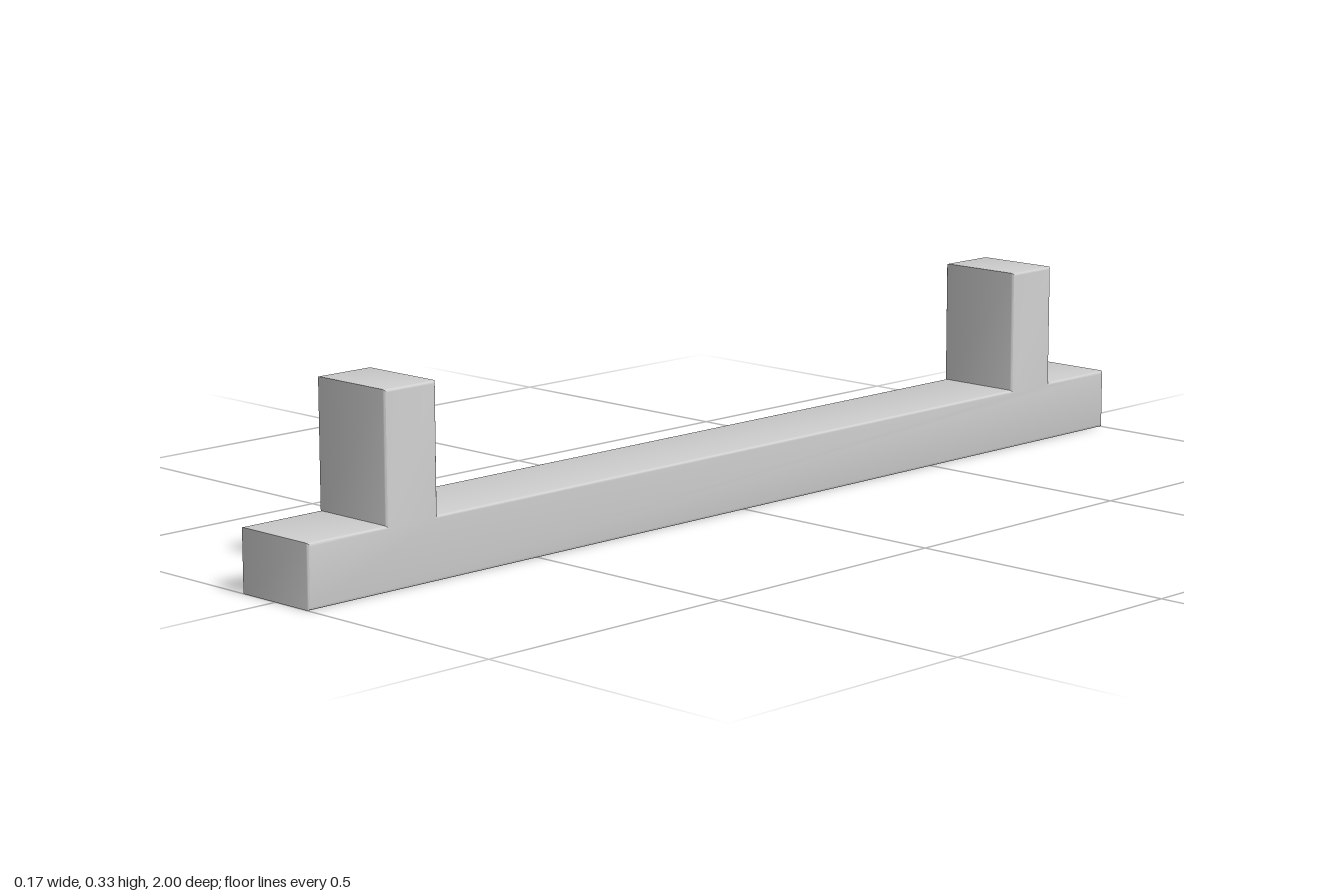
import * as THREE from 'three';
import { toCreasedNormals } from 'three/addons/utils/BufferGeometryUtils.js';

export function createModel() {
  const group = new THREE.Group();
  group.name = 'barHandle';

  const width = 0.166, barHeight = 0.11, postHeight = 0.333;
  const postInner = 0.725, postOuter = 0.835, bevel = 0.005;

  // Side profile: one half, then its mirror image
  const half = [
    [1, 0], [1, barHeight],
    [postOuter, barHeight], [postOuter, postHeight],
    [postInner, postHeight], [postInner, barHeight],
  ];
  const mirrored = half.map(([z, y]) => [-z, y]).reverse();
  const profile = new THREE.Shape(
    [...half, ...mirrored].map(([z, y]) => new THREE.Vector2(z, y))
  );

  // Bar and both posts are one solid piece with softened side edges
  const geometry = new THREE.ExtrudeGeometry(profile, {
    depth: width - 2 * bevel,
    bevelEnabled: true,
    bevelThickness: bevel,
    bevelSize: bevel,
    bevelOffset: -bevel,
    bevelSegments: 3,
  });
  geometry.translate(0, 0, -(width / 2 - bevel));
  geometry.rotateY(-Math.PI / 2);

  const handle = new THREE.Mesh(
    toCreasedNormals(geometry, 0.7),
    new THREE.MeshStandardMaterial({ color: 0xcccccc })
  );
  handle.name = 'barWithPosts';
  group.add(handle);

  return group;
}
